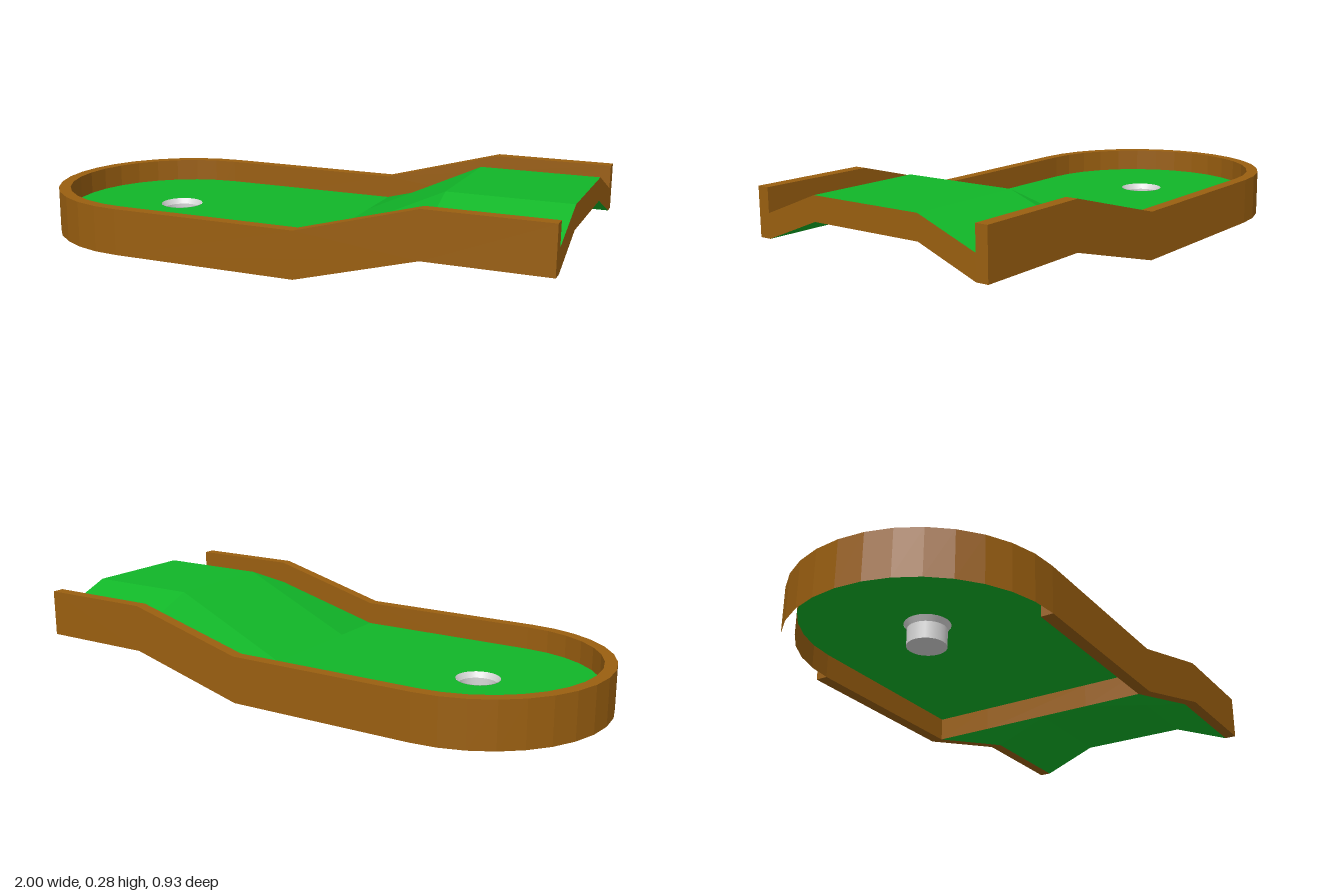
import * as THREE from 'three';

const R_OUT = 0.465, R_IN = 0.422, CX = -0.535;   // rounded end
const DECK = 0.083, WALL = 0.166;                 // grass height, kerb height
const X0 = 0.15, X1 = 0.58, X2 = 1, RISE = 0.117; // ramp stations
const CUP_X = -0.54, CUP_R = 0.078;

// Flat-shaded quads, corners counter-clockwise, one normal per quad
function quadGeometry(quads) {
  const pos = [], nor = [], idx = [];
  const V = (p) => new THREE.Vector3(...p);
  quads.forEach((q, i) => {
    const [a, b, c, d] = q.map(V);
    const n = c.clone().sub(a).cross(d.clone().sub(b)).normalize();
    [a, b, c, d].forEach((p) => {
      pos.push(p.x, p.y, p.z);
      nor.push(n.x, n.y, n.z);
    });
    const k = i * 4;
    idx.push(k, k + 1, k + 2, k, k + 2, k + 3);
  });
  const g = new THREE.BufferGeometry();
  g.setAttribute('position', new THREE.Float32BufferAttribute(pos, 3));
  g.setAttribute('normal', new THREE.Float32BufferAttribute(nor, 3));
  g.setIndex(idx);
  return g;
}

export function createModel() {
  const model = new THREE.Group();
  const material = (name, color, side = THREE.FrontSide) => {
    const m = new THREE.MeshStandardMaterial({ color, side });
    m.name = name;
    return m;
  };
  const wood = material('wood', 0x9a5f10);
  const grass = material('grass', 0x11b628, THREE.DoubleSide);
  const metal = material('metal', 0xd8d8d8, THREE.DoubleSide);
  const add = (name, geometry, mat, parent = model) => {
    const mesh = new THREE.Mesh(geometry, mat);
    mesh.name = name;
    parent.add(mesh);
    return mesh;
  };

  // Straight kerbs that follow the rise of the ramp
  const side = new THREE.Shape([
    [CX, 0], [X0, 0], [X1, RISE], [X2, RISE],
    [X2, RISE + WALL], [X1, RISE + WALL], [X0, WALL], [CX, WALL],
  ].map(([x, y]) => new THREE.Vector2(x, y)));
  const kerb = new THREE.ExtrudeGeometry(side, { depth: R_OUT - R_IN, bevelEnabled: false });
  add('frontKerb', kerb, wood).position.z = R_IN;
  add('backKerb', kerb, wood).position.z = -R_OUT;

  // Rounded kerb, open underneath
  const SEG = 16, arc = [];
  const at = (r, i, y) => {
    const t = Math.PI / 2 + (Math.PI * i) / SEG;
    return [CX + r * Math.cos(t), y, -r * Math.sin(t)];
  };
  for (let i = 0; i < SEG; i++) {
    const j = i + 1;
    arc.push([at(R_OUT, i, 0), at(R_OUT, j, 0), at(R_OUT, j, WALL), at(R_OUT, i, WALL)]);
    arc.push([at(R_IN, j, 0), at(R_IN, i, 0), at(R_IN, i, WALL), at(R_IN, j, WALL)]);
    arc.push([at(R_OUT, i, WALL), at(R_OUT, j, WALL), at(R_IN, j, WALL), at(R_IN, i, WALL)]);
  }
  add('roundedKerb', quadGeometry(arc), wood);

  // Flat grass with a hole for the cup
  const outline = [new THREE.Vector2(X0, -R_IN), new THREE.Vector2(X0, R_IN)];
  for (let i = 0; i <= SEG; i++) {
    const [x, , z] = at(R_IN, i, 0);
    outline.push(new THREE.Vector2(x, -z));
  }
  const green = new THREE.Shape(outline);
  green.holes.push(new THREE.Path().absarc(CUP_X, 0, CUP_R, 0, Math.PI * 2, true));
  const flat = new THREE.ShapeGeometry(green, 12).rotateX(-Math.PI / 2);
  add('flatGrass', flat, grass).position.y = DECK;

  // Ramp that swells into a raised crown with sloping shoulders
  const xs = [X0, X1, X2], zs = [R_IN, 0.211, -0.211, -R_IN];
  const point = (i, k, base) => {
    const crown = k === 1 || k === 2 ? 0.083 : 0;
    return [xs[i], base + (i > 0 ? RISE + crown : 0), zs[k]];
  };
  const top = [], under = [], ends = [];
  for (let k = 0; k < 3; k++) {
    const n = k + 1;
    for (let i = 0; i < 2; i++) {
      top.push([point(i, k, DECK), point(i + 1, k, DECK), point(i + 1, n, DECK), point(i, n, DECK)]);
      under.push([point(i, n, 0), point(i + 1, n, 0), point(i + 1, k, 0), point(i, k, 0)]);
    }
    ends.push([point(2, k, 0), point(2, n, 0), point(2, n, DECK), point(2, k, DECK)]);
    ends.push([point(0, n, 0), point(0, k, 0), point(0, k, DECK), point(0, n, DECK)]);
  }
  add('rampGrass', quadGeometry(top), grass);
  add('rampUnderside', quadGeometry(under), grass);
  add('rampEndBoards', quadGeometry(ends), wood);

  // Cup with a flared rim, hanging below the grass
  const cup = new THREE.Group();
  cup.name = 'cup';
  cup.position.x = CUP_X;
  model.add(cup);
  const tube = (name, rTop, rBottom, yTop, yBottom) => {
    const g = new THREE.CylinderGeometry(rTop, rBottom, yTop - yBottom, 24, 1, true);
    add(name, g, metal, cup).position.y = (yTop + yBottom) / 2;
  };
  tube('cupRim', CUP_R, 0.067, DECK + 0.001, 0.064);
  tube('cupWall', 0.067, 0.067, 0.064, 0.004);
  const floor = new THREE.CircleGeometry(0.067, 24).rotateX(-Math.PI / 2);
  add('cupFloor', floor, metal, cup).position.y = 0.004;

  return model;
}
